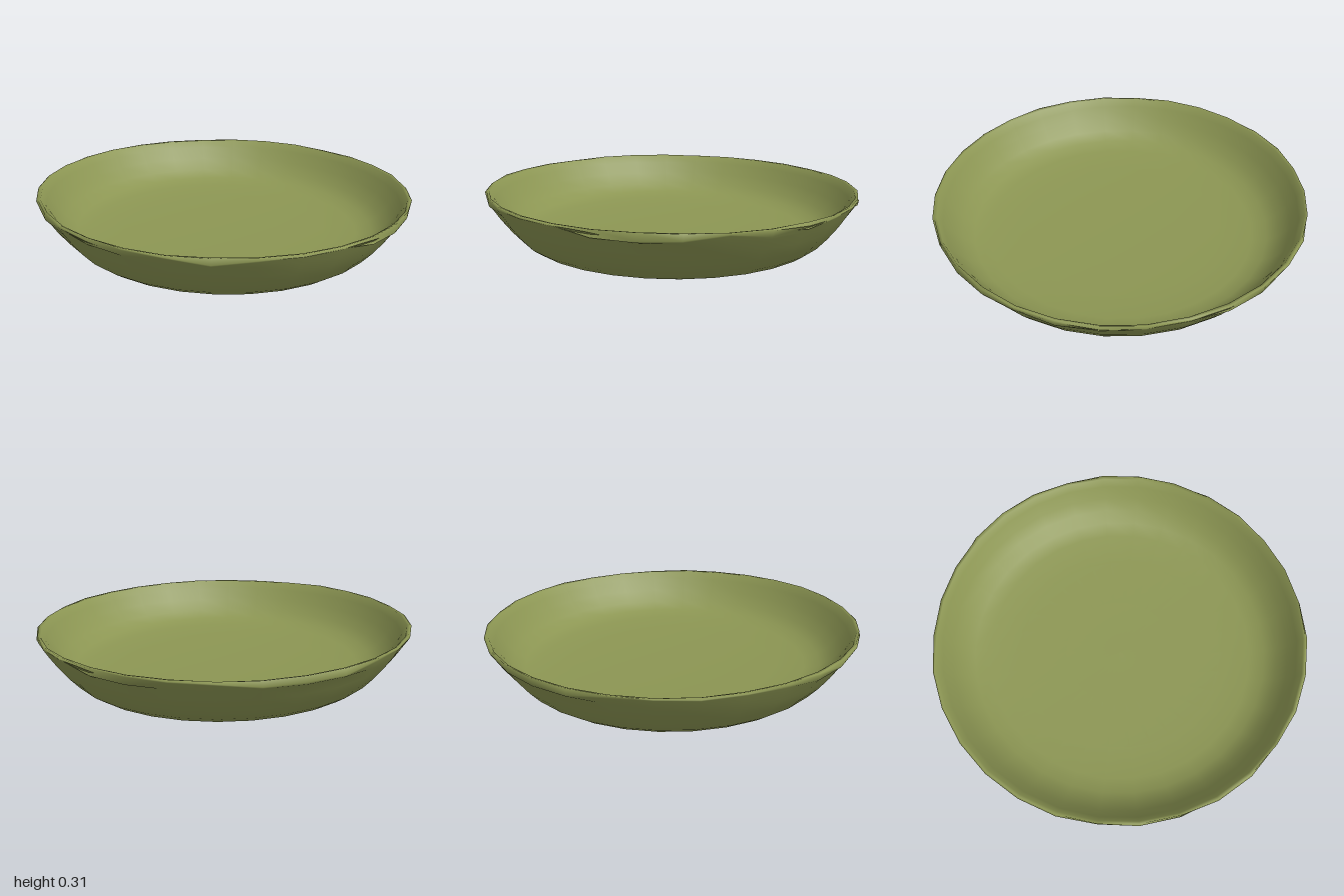
import * as THREE from 'three';
import { mergeVertices } from 'three/addons/utils/BufferGeometryUtils.js';

const SIDES = 30;
const olive = new THREE.MeshStandardMaterial({ color: 0x8c9653 });
olive.name = 'olive glaze';

// Turns a profile, then lets a rule adjust each vertex before smoothing.
function turned(name, profile, rule) {
  let geo = new THREE.LatheGeometry(profile.map(([r, y]) => new THREE.Vector2(r, y)), SIDES);
  geo.deleteAttribute('uv');
  geo.deleteAttribute('normal');
  geo = mergeVertices(geo, 1e-4);
  const pos = geo.attributes.position;
  const v = new THREE.Vector3();
  for (let i = 0; i < pos.count; i++) {
    v.fromBufferAttribute(pos, i);
    rule(v);
    // The whole dish leans slightly to its left and front
    v.y -= 0.013 * v.x + 0.006 * v.z;
    pos.setXYZ(i, v.x, v.y, v.z);
  }
  geo.computeVertexNormals();
  const mesh = new THREE.Mesh(geo, olive);
  mesh.name = name;
  return mesh;
}

// Hand-formed lip: uneven height, with the outer edge worn down in places
function wornLip(v) {
  const r = Math.hypot(v.x, v.z);
  if (v.y < 0.24 || r < 0.9) return;
  const a = Math.atan2(v.z, v.x);
  const step = Math.round((a + Math.PI) / (2 * Math.PI) * SIDES) % SIDES;
  const worn = [1, 4, 8, 9, 13, 17, 20, 21, 25, 28].includes(step);
  if (r > 0.975 && v.y < 0.293 && worn) {
    v.y -= 0.03;
    v.x *= 0.99;
    v.z *= 0.99;
  }
  v.y += 0.003 * Math.sin(step * 2.3);
}

export function createModel() {
  const dish = new THREE.Group();
  dish.name = 'dish';
  const none = () => {};

  // Shallow hollow in the middle of the underside
  dish.add(turned('undersideHollow', [
    [0, 0.045], [0.13, 0.042], [0.21, 0.032], [0.26, 0.016],
  ], none));

  // Slightly raised ring and gently sunken base
  dish.add(turned('base', [
    [0.26, 0.016], [0.36, 0.026], [0.5, 0.029], [0.65, 0.026], [0.75, 0.016],
  ], none));

  // Flared wall, thin lip and bowl interior in one skin
  dish.add(turned('bowl', [
    [0.75, 0.016], [0.77, 0.023], [0.82, 0.056], [0.875, 0.115], [0.93, 0.185],
    [0.97, 0.245], [0.995, 0.285], [0.998, 0.292], [0.99, 0.298], [0.975, 0.295],
    [0.95, 0.255], [0.91, 0.195], [0.86, 0.135], [0.8, 0.095], [0.72, 0.075],
    [0.55, 0.064], [0.3, 0.057], [0, 0.055],
  ], wornLip));

  // Rest on the ground
  const box = new THREE.Box3().setFromObject(dish);
  dish.children.forEach((m) => m.geometry.translate(0, -box.min.y, 0));
  return dish;
}
